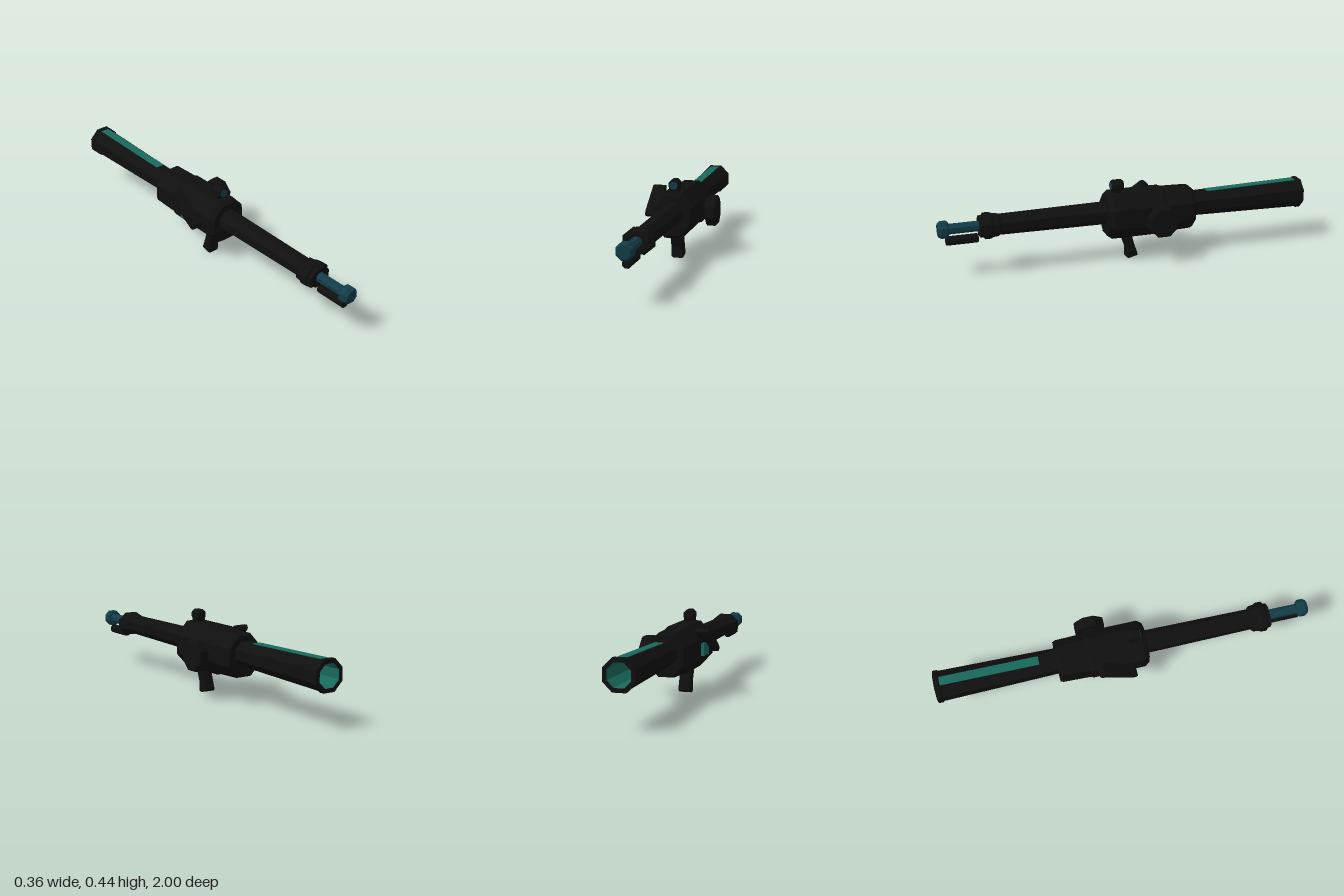
import * as THREE from 'three';

const black = new THREE.MeshStandardMaterial({ color: 0x0f0f0f, flatShading: true });
black.name = 'black casing';
const blue = new THREE.MeshStandardMaterial({ color: 0x123c48, flatShading: true });
blue.name = 'dark teal metal';
const teal = new THREE.MeshStandardMaterial({ color: 0x18695c, flatShading: true });
teal.name = 'teal lining';

const CX = -0.01;

function add(group, name, geometry, material, x = 0, y = 0, z = 0) {
  const mesh = new THREE.Mesh(geometry, material);
  mesh.name = name;
  mesh.position.set(x, y, z);
  group.add(mesh);
  return mesh;
}

// Eight-sided turned part along z, from pairs of z and half-width, flat side up.
function turned(profile, stretchX = 1) {
  const pts = profile.map(([z, a]) => new THREE.Vector2(a / Math.cos(Math.PI / 8), z));
  return new THREE.LatheGeometry(pts, 8, Math.PI / 8).rotateX(Math.PI / 2).scale(stretchX, 1, 1);
}

// Side outline of z, y pairs, extruded across x and centred.
function sidePlate(outline, width, bevel) {
  const shape = new THREE.Shape(outline.map(([z, y]) => new THREE.Vector2(z, y)));
  const depth = width - 2 * bevel;
  return new THREE.ExtrudeGeometry(shape, {
    depth, bevelEnabled: bevel > 0, bevelSize: bevel, bevelOffset: -bevel,
    bevelThickness: bevel, bevelSegments: 1,
  }).translate(0, 0, -depth / 2).rotateY(-Math.PI / 2);
}

export function createModel() {
  const model = new THREE.Group();
  model.name = 'tool';

  // Central housing with a stepped rear
  add(model, 'housing', turned([
    [-0.36, 0], [-0.36, 0.104], [-0.345, 0.111], [-0.2, 0.115], [-0.185, 0.122],
    [0.095, 0.122], [0.12, 0.104], [0.12, 0],
  ], 0.92), black, CX, 0.252);

  // Front barrel and collar
  add(model, 'frontBarrel', turned([[0.1, 0.056], [0.4, 0.053], [0.7, 0.05]]), black, CX, 0.264);
  add(model, 'collar', turned([
    [0.68, 0.045], [0.695, 0.054], [0.72, 0.056], [0.735, 0.062], [0.765, 0.062],
    [0.772, 0.052], [0.79, 0.05], [0.79, 0],
  ], 1.2), black, CX, 0.264);

  // Emitter rod, its head and the small guard below
  add(model, 'emitterRod', turned([[0.78, 0.025], [0.96, 0.025]]), blue, CX, 0.267);
  add(model, 'emitterHead', turned([
    [0.945, 0], [0.945, 0.034], [0.955, 0.042], [0.985, 0.042], [1, 0.032], [1, 0],
  ]), blue, CX, 0.267);
  add(model, 'lowerGuard', turned([
    [0.795, 0], [0.795, 0.02], [0.805, 0.022], [0.955, 0.022], [0.962, 0.019], [0.962, 0],
  ]), black, CX, 0.204);

  // Flared rear tube with a rim and lined bore
  add(model, 'rearTube', turned([
    [-1, 0.058], [-1, 0.079], [-0.975, 0.079], [-0.97, 0.074], [-0.35, 0.062],
  ]), black, CX, 0.266);
  add(model, 'bore', turned([[-0.5, 0], [-0.5, 0.05], [-1, 0.058]]), teal, CX, 0.266);
  const strip = add(model, 'topStrip', new THREE.BoxGeometry(0.046, 0.006, 0.52), teal, CX, 0.3353, -0.71);
  strip.rotation.x = Math.atan(0.012 / 0.62);

  // Grip under the housing
  add(model, 'grip', sidePlate([
    [0.03, 0.15], [0.03, 0.125], [0.006, 0.06], [0.006, 0.006], [-0.005, 0],
    [-0.053, 0.012], [-0.055, 0.02], [-0.035, 0.08], [-0.016, 0.15],
  ], 0.067, 0.008), black, CX, 0, 0);

  // Knob with a lens on top
  add(model, 'knobNeck', new THREE.BoxGeometry(0.054, 0.05, 0.038), black, CX, 0.38, 0.052);
  add(model, 'knob', turned([
    [0.02, 0], [0.02, 0.022], [0.03, 0.029], [0.075, 0.029], [0.085, 0.024], [0.085, 0],
  ]), black, CX, 0.409);
  add(model, 'knobLens', turned([[0.08, 0.02], [0.088, 0.02], [0.088, 0]]), blue, CX, 0.407);

  // Round dial on the left side
  const dial = new THREE.Group();
  dial.name = 'dial';
  dial.position.set(0, 0.238, -0.15);
  dial.rotation.y = Math.PI / 2;
  model.add(dial);
  add(dial, 'dialNeck', turned([[0.06, 0.068], [0.095, 0.062], [0.112, 0.042], [0.125, 0.042]]), black);
  add(dial, 'dialCap', turned([
    [0.12, 0], [0.12, 0.07], [0.127, 0.078], [0.172, 0.078], [0.179, 0.07], [0.179, 0],
  ]), black);

  // Sloping lever on the right side, over a teal mount
  const lever = add(model, 'lever', sidePlate([
    [-0.115, 0.008], [-0.1, 0.018], [0.1, 0.018], [0.115, 0.008],
    [0.115, -0.008], [0.1, -0.018], [-0.1, -0.018], [-0.115, -0.008],
  ], 0.068, 0), black, -0.143, 0.296, -0.06);
  lever.rotation.x = 0.58;
  add(model, 'leverMount', new THREE.BoxGeometry(0.04, 0.065, 0.09), teal, -0.118, 0.25, -0.07);

  return model;
}
